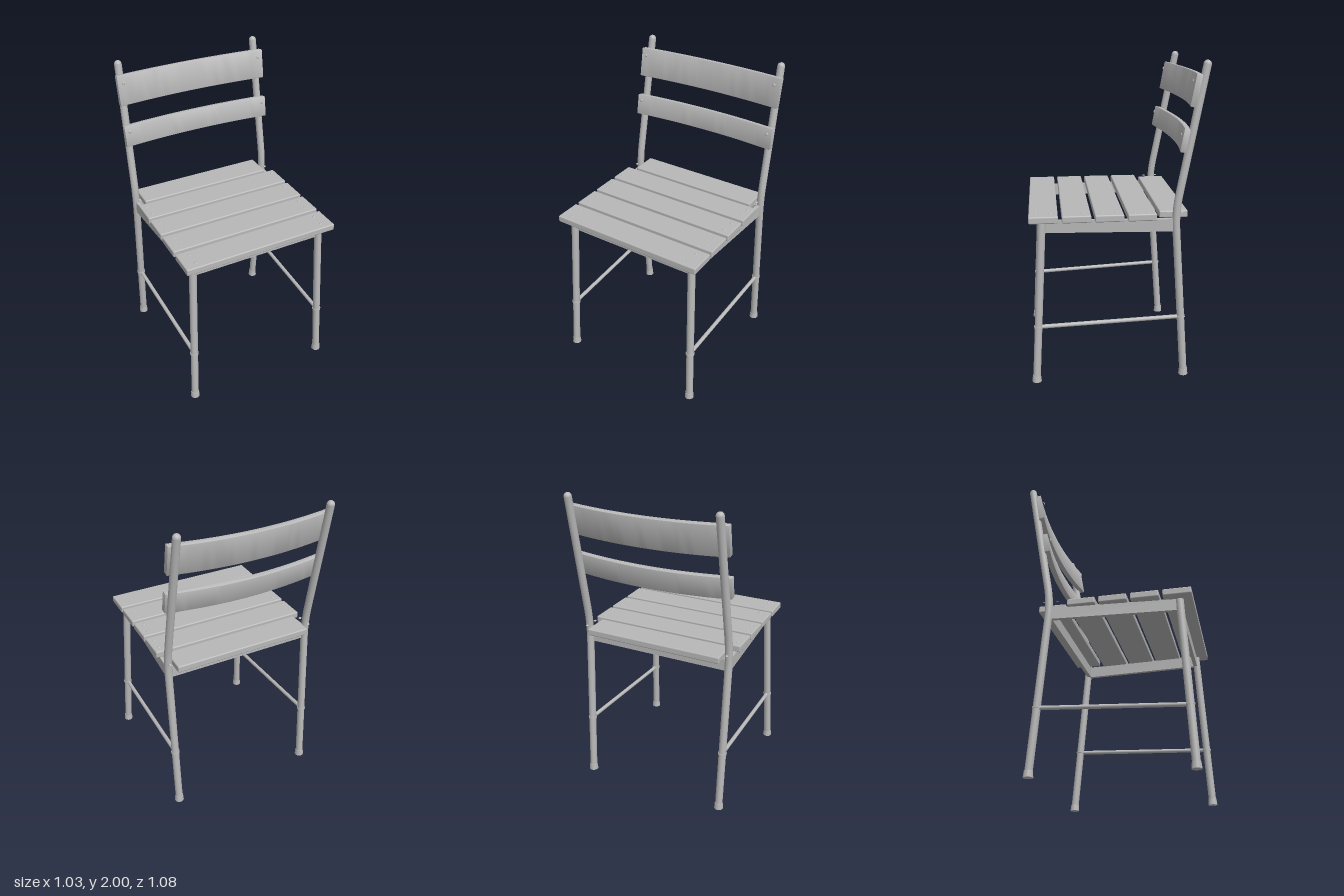
import * as THREE from 'three';
import { toCreasedNormals } from 'three/addons/utils/BufferGeometryUtils.js';
import { RoundedBoxGeometry } from 'three/addons/geometries/RoundedBoxGeometry.js';

const paint = new THREE.MeshStandardMaterial({ color: 0xb8b8b8 });
paint.name = 'greyPaint';

const V = (x, y, z) => new THREE.Vector3(x, y, z);
const UP = V(0, 1, 0);

export function createModel() {
  const chair = new THREE.Group();
  chair.name = 'chair';

  const add = (name, geometry, position) => {
    const mesh = new THREE.Mesh(geometry, paint);
    mesh.name = name;
    if (position) mesh.position.copy(position);
    chair.add(mesh);
    return mesh;
  };

  // Round rod from a to b
  const rod = (name, a, b, radiusA, radiusB = radiusA) => {
    const dir = b.clone().sub(a);
    const mesh = add(name, new THREE.CylinderGeometry(radiusB, radiusA, dir.length(), 24),
      a.clone().lerp(b, 0.5));
    mesh.quaternion.setFromUnitVectors(UP, dir.normalize());
    return mesh;
  };

  // Flat frame rail from a to b
  const rail = (name, a, b) => {
    const dir = b.clone().sub(a);
    const mesh = add(name, new THREE.BoxGeometry(0.025, 0.078, dir.length()), a.clone().lerp(b, 0.5));
    mesh.rotation.y = Math.atan2(dir.x, dir.z);
  };

  // Flattened rivet head
  const rivet = (position, tilt = 0) => {
    const geometry = new THREE.SphereGeometry(0.01, 12, 6, 0, Math.PI * 2, 0, Math.PI / 2);
    geometry.scale(1, 0.6, 1);
    add('rivet', geometry, position).rotation.x = tilt;
  };

  // Flat seat slats; the rear one fits between the back legs
  for (let i = 0; i < 5; i++) {
    const width = i === 4 ? 0.916 : 1.03;
    add('seatSlat', new RoundedBoxGeometry(width, 0.044, 0.176, 3, 0.008),
      V(0, 1.077, 0.448 - i * 0.1985));
  }

  // Bowed, tilted back slats
  const TILT = 0.18;
  const backSlat = (height, y, frontZ) => {
    const bevel = 0.006, half = 0.515 - bevel, thick = 0.036, bow = 0.044, n = 28;
    const front = [], back = [];
    for (let i = 0; i <= n; i++) {
      const t = (i / n) * 2 - 1;
      const s = bow * (1 - t * t);
      front.push(new THREE.Vector2(t * half, s + bevel));
      back.unshift(new THREE.Vector2(t * half, s + thick - bevel));
    }
    const geometry = new THREE.ExtrudeGeometry(new THREE.Shape([...front, ...back]), {
      depth: height - 2 * bevel, bevelEnabled: true, bevelSize: bevel,
      bevelThickness: bevel, bevelSegments: 2, steps: 1,
    });
    geometry.translate(0, 0, bevel - height / 2);
    geometry.rotateX(-Math.PI / 2 - TILT);
    add('backSlat', toCreasedNormals(geometry, 0.6), V(0, y, frontZ));
  };
  backSlat(0.192, 1.831, -0.432);
  backSlat(0.14, 1.54, -0.375);

  for (const side of [1, -1]) {
    // Back leg: one tube bent at seat height, with a domed top
    const foot = V(side * 0.483, 0.02, -0.43);
    const knee = V(side * 0.491, 1.1, -0.35);
    const top = V(side * 0.478, 1.976, -0.515);
    const bendIn = knee.clone().lerp(foot, 0.1);
    const bendOut = knee.clone().lerp(top, 0.13);
    const path = new THREE.CurvePath();
    path.add(new THREE.LineCurve3(foot, bendIn));
    path.add(new THREE.QuadraticBezierCurve3(bendIn, knee, bendOut));
    path.add(new THREE.LineCurve3(bendOut, top));
    add('backLeg', new THREE.TubeGeometry(path, 60, 0.024, 20));
    add('backLegCap', new THREE.SphereGeometry(0.024, 20, 12), top);

    // Front leg
    const frontFoot = V(side * 0.483, 0.02, 0.515);
    const frontTop = V(side * 0.445, 1.05, 0.457);
    rod('frontLeg', frontFoot, frontTop, 0.024);

    // Flared feet
    for (const f of [foot, frontFoot]) {
      add('foot', new THREE.CylinderGeometry(0.026, 0.03, 0.04, 24), V(f.x, 0.02, f.z));
    }

    // Side stretcher with a collar on each leg
    const stretchFront = frontFoot.clone().lerp(frontTop, 0.34);
    const stretchBack = foot.clone().lerp(knee, 0.36);
    rod('stretcher', stretchFront, stretchBack, 0.013);
    for (const [p, a, b] of [[stretchFront, frontFoot, frontTop], [stretchBack, foot, knee]]) {
      const dir = b.clone().sub(a).normalize().multiplyScalar(0.006);
      rod('stretcherCollar', p.clone().sub(dir), p.clone().add(dir), 0.028);
    }

    // Side frame rail, narrowing toward the front
    rail('sideRail', V(side * 0.487, 1.019, -0.34), V(side * 0.44, 1.019, 0.45));

    // Seat rivets, two per slat along the rail
    for (let i = 0; i < 5; i++) {
      for (const dz of [0.043, -0.043]) {
        const z = 0.448 - i * 0.1985 + dz;
        rivet(V(side * (0.4665 - 0.06 * z), 1.098, z));
      }
    }

    // Back slat rivets
    rivet(V(side * 0.478, 1.88, -0.434), Math.PI / 2 - TILT);
    rivet(V(side * 0.484, 1.572, -0.374), Math.PI / 2 - TILT);
  }

  // Cross rails under the seat
  rail('frontRail', V(-0.44, 1.019, 0.45), V(0.44, 1.019, 0.45));
  rail('rearRail', V(-0.487, 1.019, -0.345), V(0.487, 1.019, -0.345));

  return chair;
}
